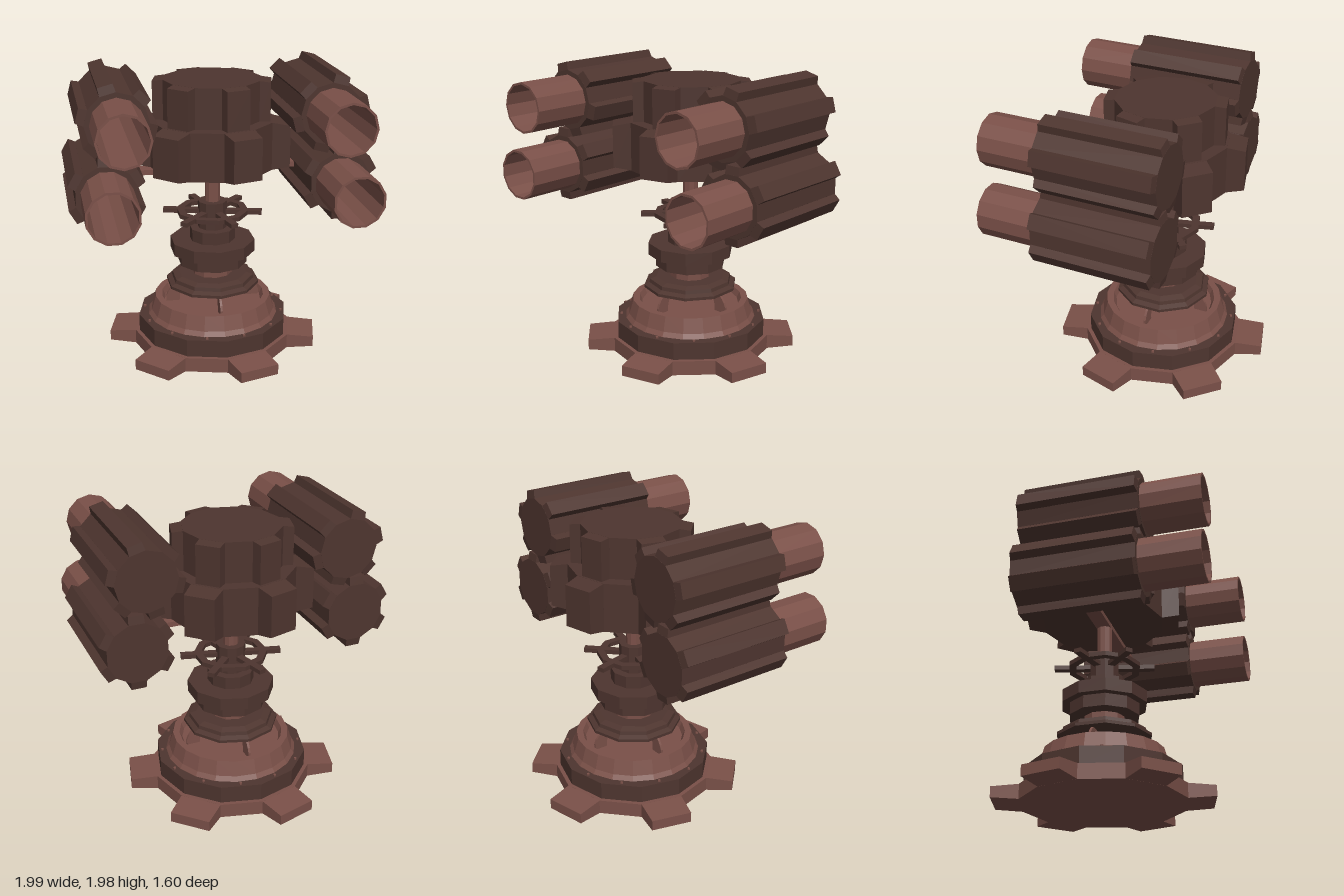
import * as THREE from 'three';

const dark = new THREE.MeshStandardMaterial({ color: 0x4e352f, flatShading: true, side: THREE.DoubleSide });
const light = new THREE.MeshStandardMaterial({ color: 0x7a5048, flatShading: true, side: THREE.DoubleSide });
const AXIS_Z = -0.07;

function add(parent, name, geometry, material, x = 0, y = 0, z = 0) {
  const mesh = new THREE.Mesh(geometry, material);
  mesh.name = name;
  mesh.position.set(x, y, z);
  parent.add(mesh);
  return mesh;
}

function lathe(points, sides) {
  return new THREE.LatheGeometry(points.map(([r, y]) => new THREE.Vector2(r, y)), sides);
}

// Six tapered teeth, one on every other face of a 12-sided drum
function addTeeth(parent, name, material, R, outer, bottom, top, endScale, widthScale) {
  const inner = R * Math.cos(Math.PI / 12) - 0.005;
  const h = top - bottom;
  for (let i = 0; i < 6; i++) {
    const g = new THREE.BoxGeometry(2 * R * Math.sin(Math.PI / 12), h, outer - inner);
    const p = g.attributes.position;
    for (let k = 0; k < p.count; k++) {
      if (p.getZ(k) > 0) p.setXY(k, p.getX(k) * widthScale, p.getY(k) * endScale);
    }
    g.translate(0, (bottom + top) / 2, (inner + outer) / 2);
    g.rotateY(Math.PI / 12 + i * Math.PI / 3);
    add(parent, name, g, material);
  }
}

// Toothed solid drum standing on the y axis
function drum(name, material, R, outer, bottom, top, endScale, widthScale) {
  const group = new THREE.Group();
  group.name = name;
  const body = new THREE.CylinderGeometry(R, R, top - bottom, 12);
  add(group, name + 'Body', body, material, 0, (bottom + top) / 2);
  addTeeth(group, name + 'Tooth', material, R, outer, bottom, top, endScale, widthScale);
  return group;
}

// Hollow ribbed barrel pointing along +z
function launcher(name) {
  const barrel = new THREE.Group();
  barrel.rotation.x = Math.PI / 2;
  add(barrel, 'barrelBody', lathe([[0, -0.4], [0.203, -0.4], [0.203, 0.405], [0.165, 0.405]], 12), dark);
  add(barrel, 'barrelTube', lathe([[0.17, 0.4], [0.17, 0.8], [0.155, 0.8], [0.155, -0.37], [0, -0.37]], 12), light);
  addTeeth(barrel, 'barrelRib', dark, 0.203, 0.25, -0.4, 0.405, 0.975, 0.93);
  const group = new THREE.Group();
  group.name = name;
  group.add(barrel);
  return group;
}

export function createModel() {
  const model = new THREE.Group();
  model.name = 'turret';
  const column = new THREE.Group();
  column.name = 'column';
  column.position.z = AXIS_Z;
  model.add(column);

  // Toothed foot, plinth and dished dome
  column.add(drum('foot', light, 0.553, 0.717, 0, 0.1, 0.72, 0.965));
  add(column, 'plinth', new THREE.CylinderGeometry(0.525, 0.525, 0.12, 12), dark, 0, 0.16);
  add(column, 'dome', lathe([[0.46, 0.215], [0.435, 0.25], [0.405, 0.35], [0.36, 0.35], [0.34, 0.31], [0, 0.31]], 20), light);
  for (let i = 0; i < 12; i++) {
    const a = (i + 0.5) * Math.PI / 6;
    add(column, 'bolt', new THREE.CylinderGeometry(0.01, 0.01, 0.02, 6), light,
      0.485 * Math.sin(a), 0.222, 0.485 * Math.cos(a));
  }

  // Four thin curved legs carrying the flange
  const leg = new THREE.Shape();
  leg.moveTo(0.33, 0.3);
  leg.lineTo(0.33, 0.35);
  leg.quadraticCurveTo(0.31, 0.42, 0.24, 0.45);
  leg.lineTo(0.15, 0.45);
  leg.quadraticCurveTo(0.225, 0.42, 0.235, 0.35);
  leg.lineTo(0.235, 0.3);
  for (let i = 0; i < 4; i++) {
    const g = new THREE.ExtrudeGeometry(leg, { depth: 0.016, bevelEnabled: false, curveSegments: 4 });
    g.translate(0, 0, -0.008);
    add(column, 'leg', g, light).rotation.y = i * Math.PI / 2;
  }
  add(column, 'flange', lathe([[0, 0.44], [0.325, 0.44], [0.325, 0.46], [0.29, 0.475], [0.285, 0.5], [0.24, 0.515], [0, 0.515]], 10), dark);

  // Stepped ten-sided stack: radius, bottom, top
  const stack = [
    ['neck', 0.14, 0.51, 0.6, light],
    ['lowerCollar', 0.242, 0.595, 0.68, dark],
    ['middleCollar', 0.295, 0.68, 0.765, dark],
    ['upperCollar', 0.158, 0.765, 0.85, dark],
    ['hub', 0.1, 0.85, 1.04, dark],
    ['post', 0.052, 1.04, 1.3, light],
  ];
  for (const [name, r, y0, y1, mat] of stack) {
    add(column, name, new THREE.CylinderGeometry(r, r, y1 - y0, 10), mat, 0, (y0 + y1) / 2);
  }

  // Open spoked wheel around the hub
  add(column, 'wheelRim', lathe([[0.2, 0.948], [0.25, 0.948], [0.25, 0.978], [0.2, 0.978], [0.2, 0.948]], 10), dark);
  for (let i = 0; i < 6; i++) {
    const g = new THREE.BoxGeometry(0.05, 0.03, 0.26);
    g.translate(0, 0.963, 0.21);
    add(column, 'wheelSpoke', g, dark).rotation.y = Math.PI / 12 + i * Math.PI / 3;
  }

  // Cross bar and two-tier toothed head
  add(column, 'crossBar', new THREE.BoxGeometry(1.24, 0.035, 0.1), light, 0, 1.28);
  const head = new THREE.Group();
  head.name = 'head';
  head.position.z = -0.01;
  head.add(drum('lowerHead', dark, 0.42, 0.525, 1.295, 1.62, 0.86, 0.93));
  head.add(drum('upperHead', dark, 0.33, 0.39, 1.6, 1.89, 0.93, 0.95));
  column.add(head);

  // Two stacked launchers on each side
  for (const s of [-1, 1]) {
    const side = s > 0 ? 'left' : 'right';
    const upper = launcher(side + 'UpperLauncher');
    upper.position.set(s * 0.68, 1.73, 0);
    upper.rotation.z = -Math.PI / 12 * (1 + s);
    const lower = launcher(side + 'LowerLauncher');
    lower.position.set(s * 0.755, 1.27, 0);
    lower.rotation.z = -Math.PI / 12;
    model.add(upper, lower);
  }
  return model;
}
